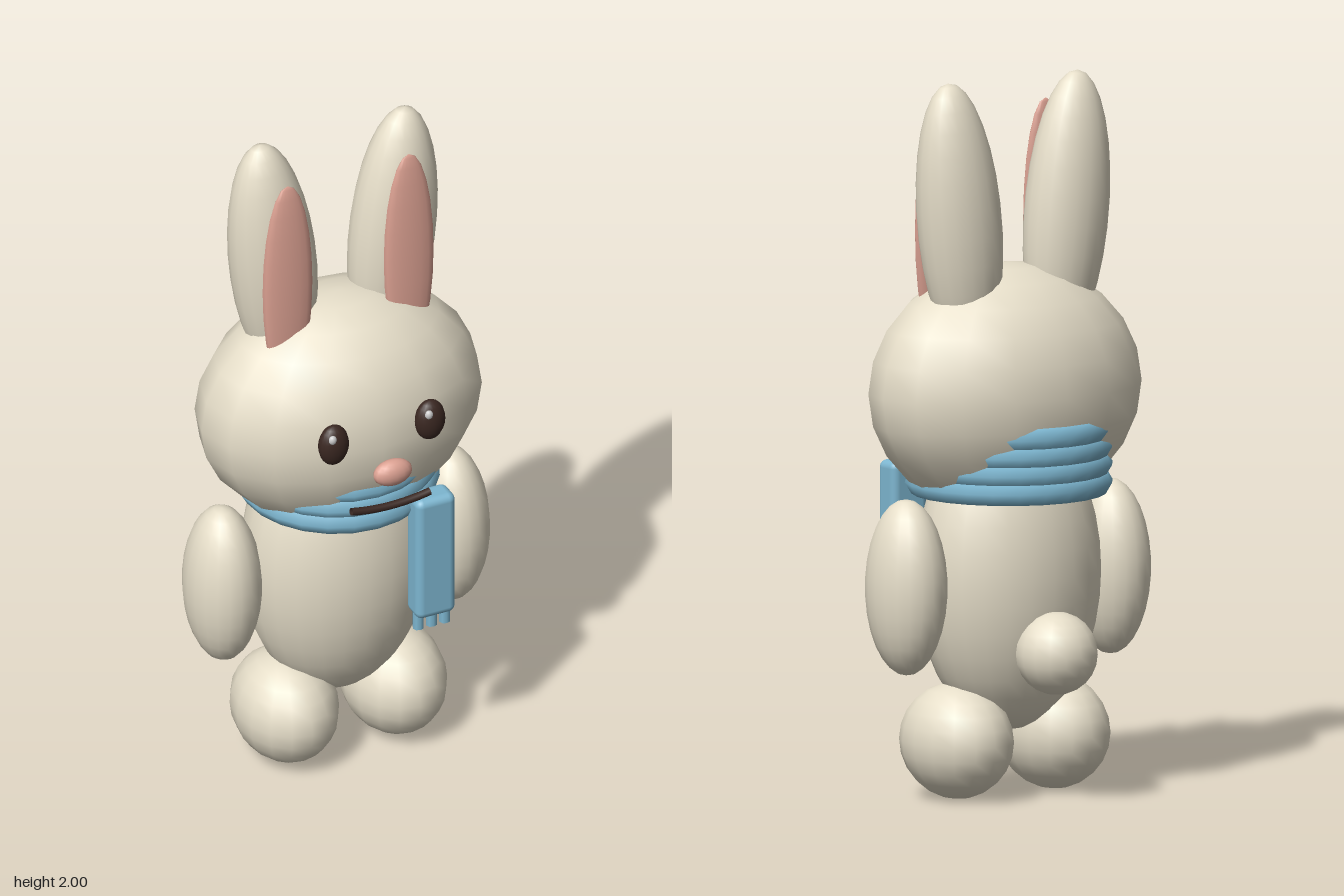
import * as THREE from 'three';
import { RoundedBoxGeometry } from 'three/addons/geometries/RoundedBoxGeometry.js';

const material = (color) => new THREE.MeshStandardMaterial({ color });

export function createModel() {
  const group = new THREE.Group();
  const fur = material(0xe6dec9);
  const pink = material(0xdda293);
  const brown = material(0x3b2822);
  const blue = material(0x7db6d0);
  const white = material(0xffffff);

  const add = (name, geometry, mat, x, y, z) => {
    const mesh = new THREE.Mesh(geometry, mat);
    mesh.name = name;
    mesh.position.set(x, y, z);
    group.add(mesh);
    return mesh;
  };
  // Ellipsoid given by its centre and its three radii
  const blob = (name, mat, [x, y, z], [rx, ry, rz], segments = 16) => {
    const geometry = new THREE.SphereGeometry(1, segments, Math.round(segments * 0.75));
    geometry.scale(rx, ry, rz);
    return add(name, geometry, mat, x, y, z);
  };

  // Head, body and tail
  blob('head', fur, [0, 1.13, -0.013], [0.417, 0.35, 0.291]);
  blob('body', fur, [0, 0.62, -0.028], [0.275, 0.44, 0.217], 24);
  blob('tail', fur, [0, 0.418, -0.252], [0.115, 0.115, 0.115]);

  // Paired parts
  for (const [side, s] of [['left', 1], ['right', -1]]) {
    blob(side + 'Arm', fur, [s * 0.348, 0.605, -0.027], [0.107, 0.245, 0.127], 20);
    blob(side + 'Foot', fur, [s * 0.165, 0.161, -0.012], [0.145, 0.161, 0.181]);
    const ear = blob(side + 'Ear', fur, [s * 0.183, 1.612, -0.05], [0.125, 0.389, 0.102], 20);
    ear.rotation.z = -s * 0.1;
    blob(side + 'InnerEar', pink, [s * 0.185, 1.58, 0.05], [0.076, 0.333, 0.022]);
    blob(side + 'Eye', brown, [s * 0.147, 1.176, 0.264], [0.045, 0.063, 0.032]);
    blob(side + 'EyeHighlight', white, [s * 0.147 - 0.013, 1.207, 0.286], [0.012, 0.014, 0.01], 12);
  }

  // Nose and mouth
  blob('nose', pink, [0, 1.085, 0.334], [0.058, 0.04, 0.031]);
  const smile = new THREE.QuadraticBezierCurve3(
    new THREE.Vector3(-0.12, 0.98, 0.321),
    new THREE.Vector3(0, 0.954, 0.321),
    new THREE.Vector3(0.12, 0.98, 0.321)
  );
  brown.side = THREE.DoubleSide;
  add('mouth', new THREE.TubeGeometry(smile, 12, 0.011, 8), brown, 0, 0, 0);

  // Scarf wraps: stacked rings partly swallowed by the head
  for (let i = 0; i < 4; i++) {
    const ring = new THREE.TorusGeometry(0.252, 0.036, 6, 24);
    ring.rotateX(Math.PI / 2);
    add('scarfWrap', ring, blue, 0, 0.872 + i * 0.05, -0.03);
  }

  // Hanging scarf end with fringe
  add('scarfEnd', new RoundedBoxGeometry(0.12, 0.39, 0.08, 3, 0.022), blue, 0.163, 0.72, 0.24);
  for (let i = -1; i <= 1; i++) {
    add('scarfFringe', new THREE.CylinderGeometry(0.016, 0.016, 0.06, 8), blue, 0.163 + i * 0.04, 0.51, 0.24);
  }

  return group;
}
